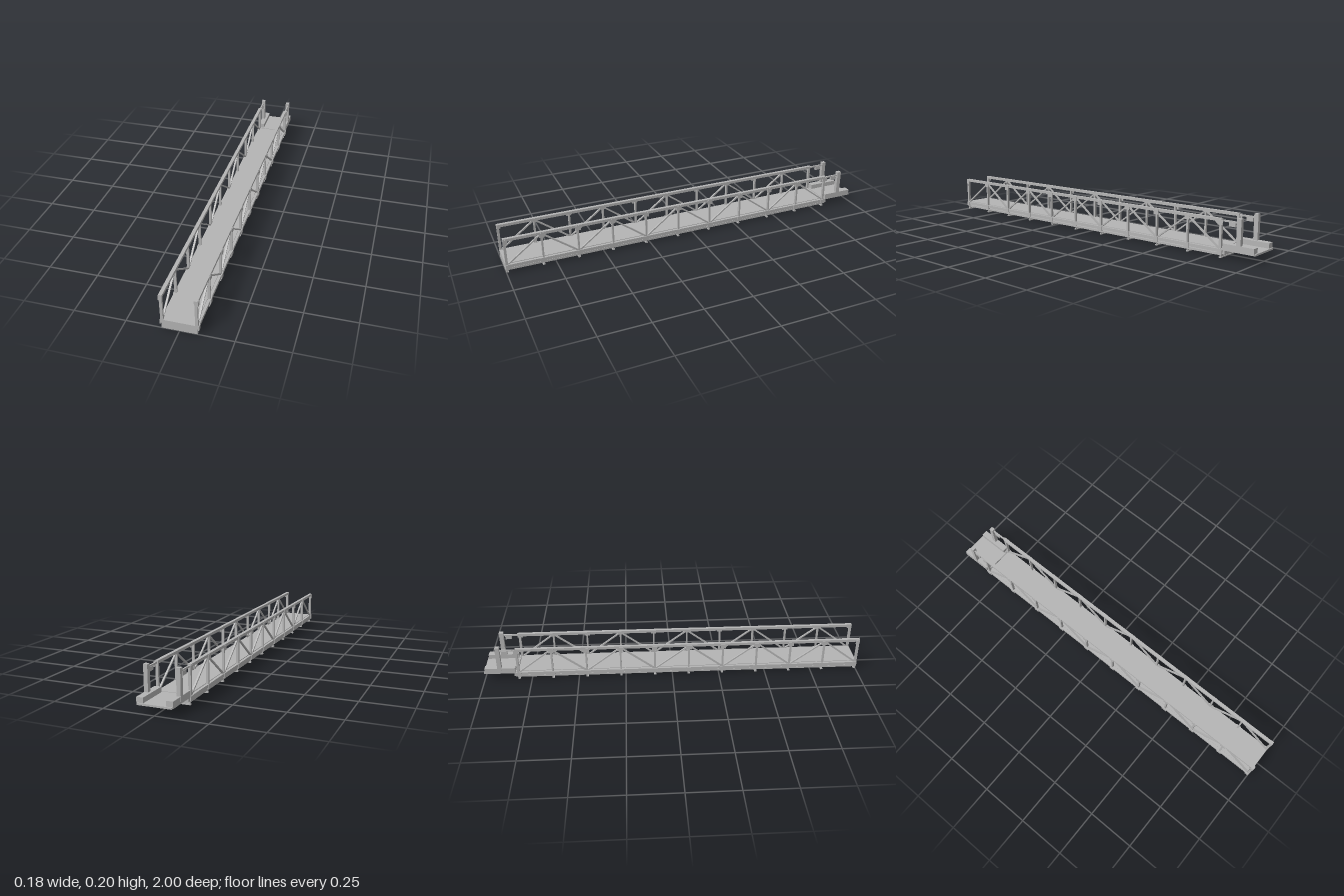
import * as THREE from 'three';

export function createModel() {
  const bridge = new THREE.Group();
  bridge.name = 'trussFootbridge';
  const steel = new THREE.MeshStandardMaterial({ color: 0xb4b4b4 });
  steel.name = 'grey steel';

  // Box given by its minimum and maximum on each axis
  function box(name, x0, x1, y0, y1, z0, z1) {
    const mesh = new THREE.Mesh(new THREE.BoxGeometry(x1 - x0, y1 - y0, z1 - z0), steel);
    mesh.position.set((x0 + x1) / 2, (y0 + y1) / 2, (z0 + z1) / 2);
    mesh.name = name;
    bridge.add(mesh);
    return mesh;
  }

  // The same box on the left and the right side
  function pair(name, x0, x1, y0, y1, z0, z1) {
    box(name + 'Left', x0, x1, y0, y1, z0, z1);
    box(name + 'Right', -x1, -x0, y0, y1, z0, z1);
  }

  // Rectangular bar between two points
  function bar(name, a, b, width, height) {
    const from = new THREE.Vector3(...a), to = new THREE.Vector3(...b);
    const mesh = new THREE.Mesh(new THREE.BoxGeometry(width, height, from.distanceTo(to)), steel);
    mesh.position.copy(from).add(to).multiplyScalar(0.5);
    mesh.lookAt(to);
    mesh.name = name;
    bridge.add(mesh);
  }

  const bays = 10, front = 0.994, back = -0.818;
  const step = (front - back) / bays;
  const stationZ = i => front - i * step;

  // Walkway and its long members
  box('deck', -0.073, 0.073, 0.042, 0.047, back, 1);
  pair('topChord', 0.071, 0.088, 0.173, 0.187, back - 0.006, 1);
  pair('bottomChord', 0.073, 0.087, 0.028, 0.044, back - 0.006, 1);
  pair('lowerRunner', 0.069, 0.08, 0.012, 0.023, back - 0.006, 1);
  pair('stringer', 0.026, 0.034, 0.02, 0.042, back, 1);

  // Posts, cross beams and joint plates at each station
  for (let i = 0; i <= bays; i++) {
    const z = stationZ(i);
    const w = i === 0 || i === bays ? 0.006 : 0.0045;
    pair('trussPost', 0.073, 0.086, 0.04, 0.176, z - w, z + w);
    box('crossBeamWeb', -0.081, 0.081, 0.004, 0.042, z - 0.002, z + 0.002);
    box('crossBeamFlange', -0.082, 0.082, 0, 0.005, z - 0.006, z + 0.006);
    const zMax = Math.min(z + 0.014, 1);
    pair('upperJointPlate', 0.086, 0.09, 0.158, 0.183, z - 0.014, zMax);
    pair('lowerJointPlate', 0.085, 0.09, 0.021, 0.045, z - 0.014, zMax);
  }
  box('frontEndPlate', -0.082, 0.082, 0, 0.047, 0.994, 1);

  // Side diagonals, alternately rising and falling
  for (let i = 0; i < bays; i++) {
    const low = 0.04, high = 0.176, rising = i % 2 === 0;
    for (const side of [-1, 1]) {
      bar('sideDiagonal',
        [side * 0.0795, rising ? low : high, stationZ(i)],
        [side * 0.0795, rising ? high : low, stationZ(i + 1)], 0.009, 0.007);
      // Crossed wind bracing under the deck
      bar('windBrace', [side * 0.072, 0.017, stationZ(i)],
        [-side * 0.072, 0.017, stationZ(i + 1)], 0.005, 0.004);
    }
  }

  // Landing at the back end
  box('landingBeam', -0.082, 0.082, 0.02, 0.044, -0.842, -0.822);
  box('landingSlab', -0.083, 0.083, 0.038, 0.047, -1, -0.824);
  pair('landingCurb', 0.054, 0.087, 0.04, 0.072, -0.994, -0.832);
  pair('landingPost', 0.068, 0.088, 0.05, 0.197, -0.926, -0.904);
  pair('railExtension', 0.076, 0.084, 0.174, 0.182, -0.906, -0.82);
  pair('latchBlock', 0.074, 0.086, 0.156, 0.175, -0.895, -0.862);

  return bridge;
}
